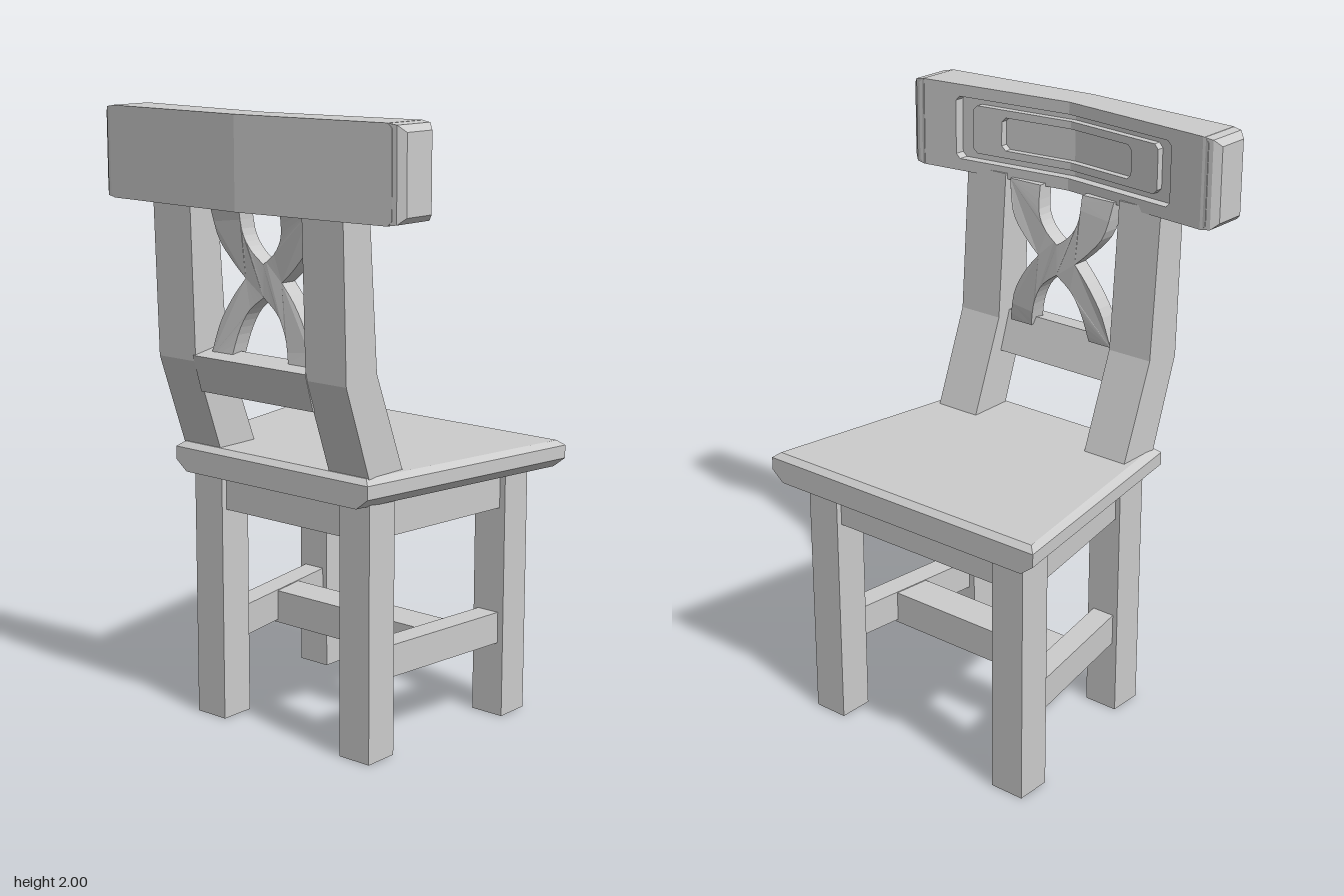
import * as THREE from 'three';
import { ConvexGeometry } from 'three/addons/geometries/ConvexGeometry.js';

const material = new THREE.MeshStandardMaterial({ color: 0xcccccc, flatShading: true });
const V = (x, y, z) => new THREE.Vector3(x, y, z);

export function createModel() {
  const chair = new THREE.Group();
  const add = (name, geometry) => {
    const mesh = new THREE.Mesh(geometry, material);
    mesh.name = name;
    chair.add(mesh);
    return mesh;
  };
  // Axis-aligned block given by its limits
  const block = (name, x0, x1, y0, y1, z0, z1) => {
    const g = new THREE.BoxGeometry(x1 - x0, y1 - y0, z1 - z0);
    g.translate((x0 + x1) / 2, (y0 + y1) / 2, (z0 + z1) / 2);
    return add(name, g);
  };
  // Rail running front to back, from depth za at x0 to zb at x1
  const sideRail = (name, x0, za, x1, zb, y0, y1, thick) => {
    const pts = [];
    for (const [x, z] of [[x0, za], [x1, zb]])
      for (const y of [y0, y1])
        for (const d of [-thick / 2, thick / 2]) pts.push(V(x, y, z + d));
    return add(name, new ConvexGeometry(pts));
  };
  // Flat (z, y) outline given a thickness in x; place(t, y, z) maps t = 0 back, 1 front to x
  const panel = (name, outline, place) => {
    const shape = new THREE.Shape(outline.map(([z, y]) => new THREE.Vector2(-z, y)));
    const g = new THREE.ExtrudeGeometry(shape, { depth: 1, bevelEnabled: false });
    g.rotateY(Math.PI / 2);
    const p = g.attributes.position;
    for (let i = 0; i < p.count; i++) p.setX(i, place(p.getX(i), p.getY(i), p.getZ(i)));
    g.computeVertexNormals();
    return add(name, g);
  };

  // Seat: a wedge with an eased top edge and undercut sides
  const seatPts = [];
  for (const [y, dx, dz] of [[0.83, 0, 0.045], [0.865, 0, 0], [0.908, 0, 0], [0.925, 0.02, 0.022]])
    for (const s of [1, -1])
      seatPts.push(V(0.485 - dx, y, s * (0.54 - dz)), V(-0.35 + dx, y, s * (0.405 - dz)));
  add('seat', new ConvexGeometry(seatPts));

  // Post profile in side view: leaning lower part, near-upright upper part
  const postShape = new THREE.Shape([
    [-0.31, 0.88], [-0.15, 0.88], [-0.29, 1.24], [-0.325, 1.73], [-0.445, 1.73], [-0.43, 1.22],
  ].map(([x, y]) => new THREE.Vector2(x, y)));

  // Legs, side rails and back posts on both sides
  for (const [side, s, front, rear] of [['left', 1, 0.37, 0.315], ['right', -1, -0.398, -0.305]]) {
    block(side + 'FrontLeg', 0.31, 0.43, 0, 0.84, front - 0.06, front + 0.06);
    block(side + 'RearLeg', -0.305, -0.185, 0, 0.84, rear - 0.06, rear + 0.06);
    sideRail(side + 'Apron', -0.2, rear, 0.32, front, 0.71, 0.84, 0.08);
    sideRail(side + 'Stretcher', -0.2, rear, 0.32, front, 0.25, 0.355, 0.08);
    const post = new THREE.ExtrudeGeometry(postShape, { depth: 0.16, bevelEnabled: false });
    post.translate(0, 0, s * 0.31 - 0.08);
    add(side + 'BackPost', post);
  }
  block('frontApron', 0.33, 0.41, 0.71, 0.84, -0.35, 0.32);
  block('rearApron', -0.285, -0.205, 0.71, 0.84, -0.26, 0.27);
  block('crossStretcher', 0.02, 0.15, 0.24, 0.352, -0.33, 0.32);

  // Lower back rail, leaning with the posts
  const railPts = [];
  for (const z of [-0.235, 0.235])
    for (const [x, y] of [[-0.402, 1.12], [-0.437, 1.24], [-0.345, 1.255], [-0.3, 1.12]])
      railPts.push(V(x, y, z));
  add('lowerBackRail', new ConvexGeometry(railPts));

  // Crest rail: two straight halves meeting in a shallow V, with a carved front
  const crestX = (t, z, sunk) => {
    const a = Math.abs(z);
    return THREE.MathUtils.lerp(-0.487 + 0.065 * a, -0.36 + 0.115 * a - sunk, t);
  };
  // Half of a frame around z = 0, open towards the middle
  const halfFrame = (s, zo, y0, y1, zi, i0, i1) => {
    const c = 0.015;
    return [[0, y0], [zo - c, y0], [zo, y0 + c], [zo, y1 - c], [zo - c, y1], [0, y1],
      [0, i1], [zi - c, i1], [zi, i1 - c], [zi, i0 + c], [zi - c, i0], [0, i0],
    ].map(([z, y]) => [s * z, y]);
  };
  const halfPanel = (s, z, y0, y1) => [[0, y0], [s * z, y0], [s * z, y1], [0, y1]];

  // Curved half of the crossed splat
  const curve = (pts) => new THREE.SplineCurve(pts.map(([z, y]) => new THREE.Vector2(z, y)))
    .getPoints(10).map((p) => [p.x, p.y]);
  const splatHalf = [
    ...curve([[0.12, 1.23], [0.098, 1.32], [0.06, 1.39], [0, 1.437]]),
    ...curve([[0, 1.54], [0.05, 1.58], [0.08, 1.635], [0.085, 1.72]]),
    ...curve([[0.21, 1.72], [0.185, 1.61], [0.13, 1.54], [0.075, 1.49]]),
    ...curve([[0.075, 1.49], [0.13, 1.425], [0.18, 1.34], [0.208, 1.23]]).slice(1),
  ];
  const splatX = (t, y) => -0.303 - 0.36 * (y - 1.48) ** 2 - 0.06 * (1 - t);

  for (const [side, s] of [['left', 1], ['right', -1]]) {
    panel(side + 'CrestFrame', halfFrame(s, 0.575, 1.71, 2, 0.43, 1.75, 1.96),
      (t, y, z) => crestX(t, z, 0));
    panel(side + 'CrestGroove', halfPanel(s, 0.44, 1.74, 1.97), (t, y, z) => crestX(t, z, 0.035));
    panel(side + 'CrestMoulding', halfFrame(s, 0.37, 1.775, 1.935, 0.26, 1.8, 1.91),
      (t, y, z) => crestX(t, z, 0.01));
    // Chamfered end of the crest rail
    const end = [];
    for (const [z, dx, dy] of [[0.555, 0, 0], [0.59, 0.004, 0.005], [0.612, 0.022, 0.025]])
      for (const y of [1.71 + dy, 2 - dy])
        end.push(V(-0.45 + dx, y, s * z), V(-0.294 - dx, y, s * z));
    add(side + 'CrestEnd', new ConvexGeometry(end));
    panel(side + 'Splat', splatHalf.map(([z, y]) => [s * z, y]), splatX);
  }
  return chair;
}
